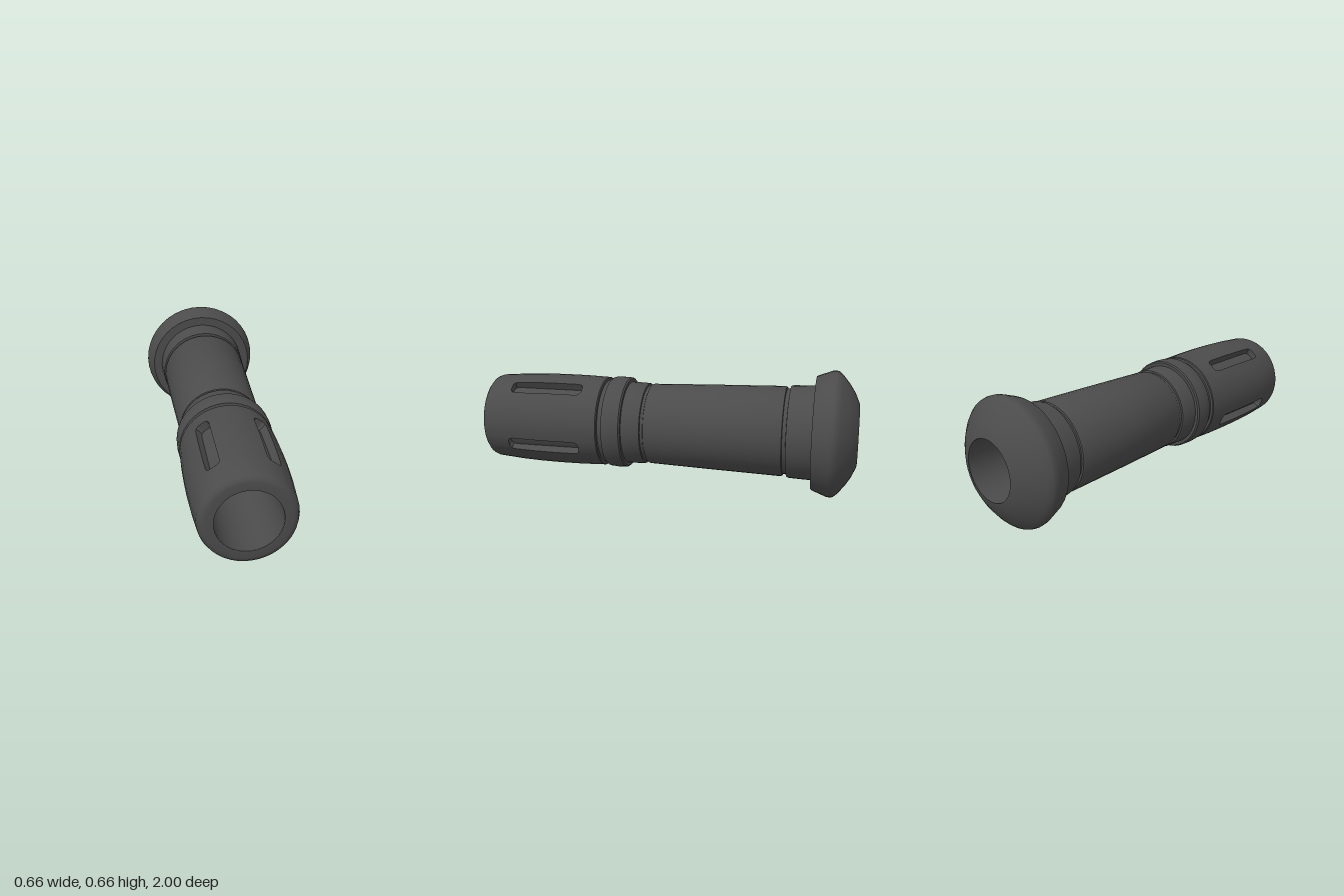
import * as THREE from 'three';
import { toCreasedNormals } from 'three/addons/utils/BufferGeometryUtils.js';

const AXIS_Y = 0.33;
const BORE = 0.157;
const CREASE = Math.PI / 6;

// Cross-sections of the slotted grip: a slotted column dips to the floor radius.
function gripGeometry() {
  const skin = [[0.35, 0.243], [0.45, 0.247], [0.6, 0.248], [0.72, 0.246], [0.85, 0.24], [0.965, 0.23]];
  const radiusAt = (z) => {
    let i = 0;
    while (i < skin.length - 2 && z > skin[i + 1][0]) i++;
    const [z0, r0] = skin[i], [z1, r1] = skin[i + 1];
    return r0 + (r1 - r0) * (z - z0) / (z1 - z0);
  };
  const column = (inset, slotted) => {
    const a = 0.45 + inset, b = 0.85 - inset;
    const floor = (z) => (slotted ? 0.205 : radiusAt(z));
    return [
      [0.343, 0.226], [0.345, 0.239], [0.35, 0.243],
      [a, radiusAt(a)], [a, floor(a)], [0.6, floor(0.6)], [0.72, floor(0.72)], [b, floor(b)], [b, radiusAt(b)],
      [0.965, 0.23], [0.985, 0.222], [0.997, 0.208], [1, 0.195], [1, BORE],
    ];
  };

  // Two slots on each side, mirrored in x
  const slots = [-25.5, 54.5, 125.5, 205.5].map((d) => d * Math.PI / 180);
  const half = 0.158;
  const columns = [];
  slots.forEach((mid, s) => {
    columns.push([mid - half, column(0.025, false)]);
    for (const t of [-1, -0.85, -0.5, 0, 0.5, 0.85, 1]) {
      const inset = Math.abs(t) === 1 ? 0.025 : Math.abs(t) > 0.8 ? 0.008 : 0;
      columns.push([mid + t * half, column(inset, true)]);
    }
    const start = mid + half;
    const end = (s < 3 ? slots[s + 1] : slots[0] + Math.PI * 2) - half;
    const steps = Math.round((end - start) / 0.15);
    for (let k = 0; k < steps; k++) columns.push([start + (end - start) * k / steps, column(0.025, false)]);
  });

  const positions = [], index = [];
  const rows = columns[0][1].length;
  columns.forEach(([angle, profile], i) => {
    for (const [z, r] of profile) positions.push(r * Math.cos(angle), r * Math.sin(angle), z);
    const next = (i + 1) % columns.length;
    for (let j = 0; j < rows - 1; j++) {
      const a = i * rows + j, b = next * rows + j;
      index.push(a, b, a + 1, b, b + 1, a + 1);
    }
  });
  const g = new THREE.BufferGeometry();
  g.setAttribute('position', new THREE.Float32BufferAttribute(positions, 3));
  g.setIndex(index);
  g.computeVertexNormals();
  return toCreasedNormals(g, CREASE);
}

// Revolves [z, radius] points about the z axis
function turned(points, sides = 40) {
  const g = new THREE.LatheGeometry(points.map(([z, r]) => new THREE.Vector2(r, z)), sides);
  g.rotateX(Math.PI / 2);
  return toCreasedNormals(g, CREASE);
}

export function createModel() {
  const rubber = new THREE.MeshStandardMaterial({ color: 0x4b4b4b });
  rubber.name = 'darkGrey';
  const model = new THREE.Group();
  model.name = 'handleGrip';
  const add = (name, geometry) => {
    const mesh = new THREE.Mesh(geometry, rubber);
    mesh.name = name;
    mesh.position.y = AXIS_Y;
    model.add(mesh);
  };

  // Rounded end flange
  add('endKnob', turned([
    [-1, BORE], [-0.997, 0.168], [-0.975, 0.218], [-0.945, 0.265], [-0.91, 0.308], [-0.89, 0.326],
    [-0.875, 0.33], [-0.855, 0.328], [-0.82, 0.315], [-0.785, 0.302], [-0.775, 0.296], [-0.773, 0.24],
  ]));
  add('rearCollar', turned([[-0.775, 0.248], [-0.66, 0.244], [-0.647, 0.24], [-0.645, 0.224]]));
  add('rearGroove', turned([[-0.645, 0.225], [-0.625, 0.224]]));

  // Long tapered middle
  add('body', turned([[-0.627, 0.223], [-0.625, 0.234], [-0.615, 0.238], [-0.25, 0.228], [0.09, 0.217], [0.097, 0.214], [0.1, 0.208]]));
  add('middleGroove', turned([[0.099, 0.208], [0.117, 0.208]]));
  add('neck', turned([[0.115, 0.207], [0.117, 0.217], [0.125, 0.22], [0.218, 0.223]]));

  // Raised ring and the groove before the grip
  add('raisedRing', turned([[0.215, 0.222], [0.215, 0.239], [0.222, 0.246], [0.27, 0.248], [0.31, 0.245], [0.319, 0.24], [0.321, 0.226]]));
  add('frontGroove', turned([[0.32, 0.227], [0.345, 0.227]]));

  add('slottedGrip', gripGeometry());
  add('bore', turned([[1, BORE], [-1, BORE]]));
  return model;
}
